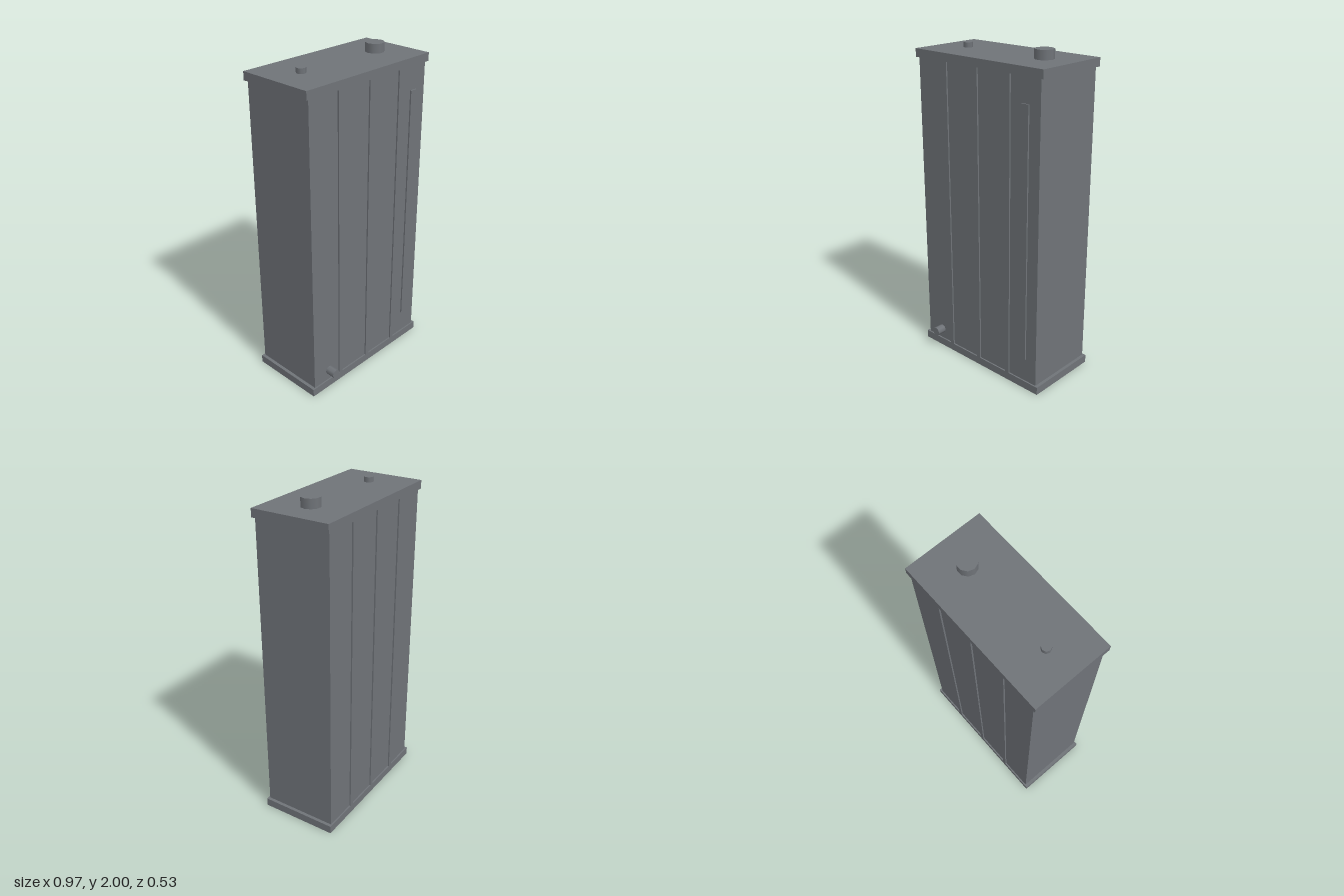
import * as THREE from 'three';

export function createModel() {
  const group = new THREE.Group();
  const steel = new THREE.MeshStandardMaterial({ color: 0x6f7378 });
  steel.name = 'greySteel';

  const add = (name, geometry, x, y, z) => {
    const mesh = new THREE.Mesh(geometry, steel);
    mesh.name = name;
    mesh.position.set(x, y, z);
    group.add(mesh);
    return mesh;
  };
  const box = (name, w, h, d, x, y, z) => add(name, new THREE.BoxGeometry(w, h, d), x, y, z);

  const midZ = -0.026; // tank sits slightly back to balance the drain pipe
  const plateDepth = 0.482, bodyDepth = 0.464;

  // Tank body between two overhanging end plates
  box('body', 0.93, 1.845, bodyDepth, 0, 0.9725, midZ);
  box('bottomPlate', 0.97, 0.05, plateDepth, 0, 0.025, midZ);
  box('topPlate', 0.97, 0.05, plateDepth, 0, 1.92, midZ);

  // Vertical ribs on front and back, flush with the plate edges
  const ribDepth = (plateDepth - bodyDepth) / 2;
  for (const side of [1, -1]) {
    for (const x of [-0.243, 0, 0.243]) {
      box(side > 0 ? 'frontRib' : 'backRib', 0.027, 1.845, ribDepth,
        x, 0.9725, midZ + side * (bodyDepth + ribDepth) / 2);
    }
  }

  // Level gauge strip on the front
  box('levelGauge', 0.048, 1.55, ribDepth, 0.364, 0.975, midZ + (bodyDepth + ribDepth) / 2);

  // Filler cap and vent on top
  add('fillerCap', new THREE.CylinderGeometry(0.057, 0.057, 0.055, 10).rotateY(Math.PI / 2), 0.29, 1.9725, midZ);
  add('vent', new THREE.CylinderGeometry(0.028, 0.028, 0.03, 8), -0.292, 1.96, midZ);

  // Drain pipe low on the front
  add('drainPipe', new THREE.CylinderGeometry(0.028, 0.028, 0.06, 8).rotateX(Math.PI / 2), -0.341, 0.12, 0.237);

  return group;
}
